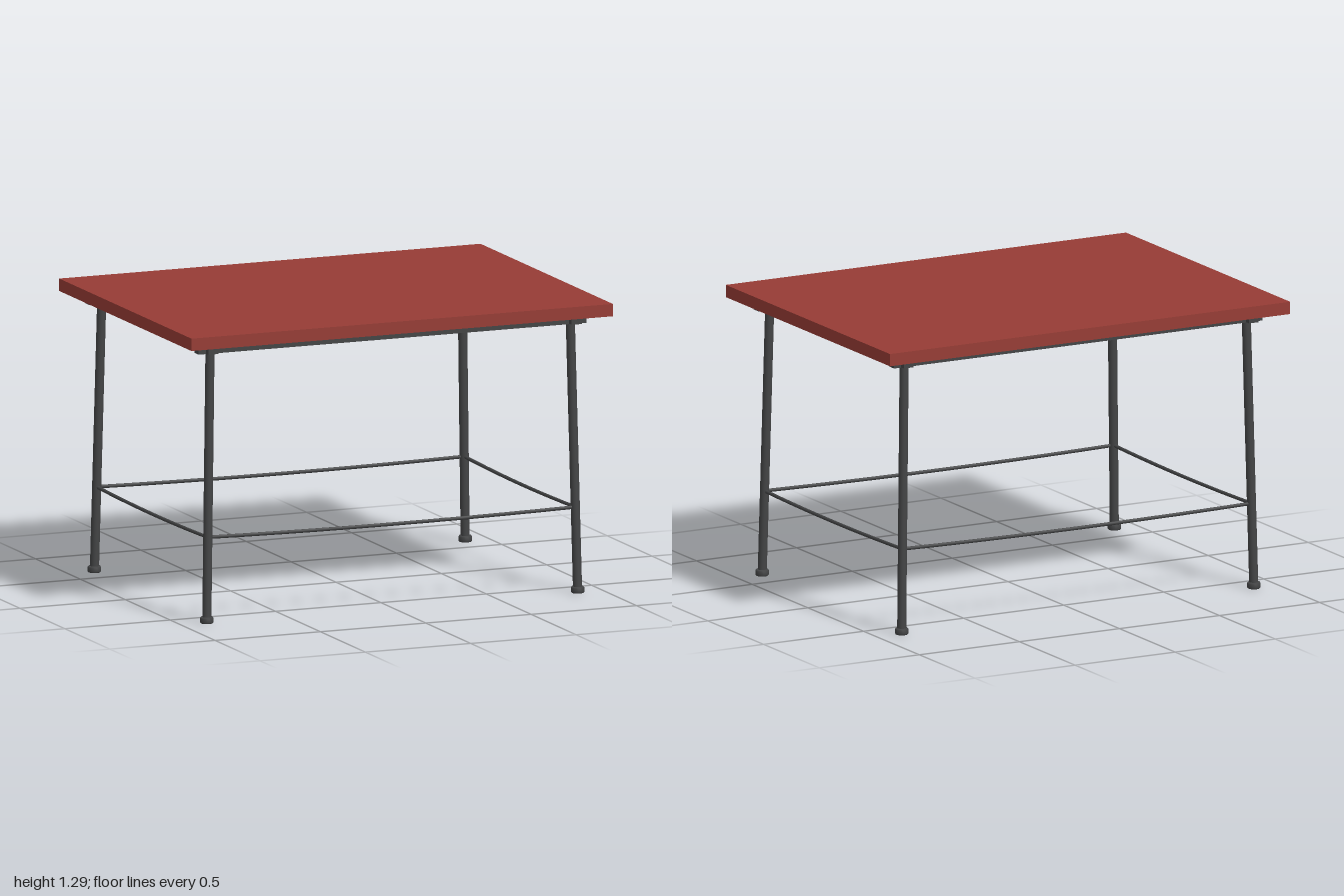
import * as THREE from 'three';

export function createModel() {
  const red = new THREE.MeshStandardMaterial({ color: 0x963c35 });
  red.name = 'red top';
  const metal = new THREE.MeshStandardMaterial({ color: 0x434445 });
  metal.name = 'dark metal';

  const table = new THREE.Group();
  table.name = 'table';
  const add = (name, geometry, material, x = 0, y = 0, z = 0) => {
    const mesh = new THREE.Mesh(geometry, material);
    mesh.name = name;
    mesh.position.set(x, y, z);
    table.add(mesh);
    return mesh;
  };
  const box = (name, w, h, d, material, x, y, z) =>
    add(name, new THREE.BoxGeometry(w, h, d), material, x, y, z);

  // Tray-like top: a thin panel with a lip hanging around its edge
  const topY = 1.295, lipY = 1.24, lip = 0.008, halfZ = 0.737;
  box('tabletop', 2, 0.01, halfZ * 2, red, 0, topY - 0.005, 0);
  const lipH = topY - 0.01 - lipY, lipMid = lipY + lipH / 2;
  for (const s of [-1, 1]) {
    box('longLip', 2, lipH, lip, red, 0, lipMid, s * (halfZ - lip / 2));
    box('shortLip', lip, lipH, (halfZ - lip) * 2, red, s * (1 - lip / 2), lipMid, 0);
  }

  // Frame of crossing bars under the top; ends project past the corners
  const barBottom = 1.198, barTop = topY - 0.01, barX = 0.862, barZ = 0.606;
  const barH = barTop - barBottom, barMid = (barTop + barBottom) / 2;
  for (const s of [-1, 1]) {
    box('longRail', 1.84, barH, 0.048, metal, 0, barMid, s * barZ);
    box('shortRail', 0.048, barH - 0.002, 1.316, metal, s * barX, barMid + 0.001, 0);
  }

  // Splayed round legs with capped feet
  const footProfile = [[0, 0], [0.026, 0], [0.03, 0.005], [0.03, 0.022], [0.026, 0.028], [0, 0.028]]
    .map(([r, y]) => new THREE.Vector2(r, y));
  const legAt = (sx, sz, y) => {
    const t = y / 1.21;
    return new THREE.Vector3(sx * (0.88 - 0.025 * t), y, sz * (0.626 - 0.023 * t));
  };
  for (const sx of [-1, 1]) for (const sz of [-1, 1]) {
    const path = new THREE.LineCurve3(legAt(sx, sz, 0.01), legAt(sx, sz, 1.21));
    add('leg', new THREE.TubeGeometry(path, 1, 0.02, 16), metal);
    const foot = legAt(sx, sz, 0);
    add('foot', new THREE.LatheGeometry(footProfile, 20), metal, foot.x, 0, foot.z);
  }

  // Thin stretchers, sagging slightly between the legs
  const stretcher = (a, b) => {
    const mid = a.clone().add(b).multiplyScalar(0.5);
    mid.y -= 0.018;
    const path = new THREE.QuadraticBezierCurve3(a, mid, b);
    add('stretcher', new THREE.TubeGeometry(path, 10, 0.008, 8), metal);
  };
  const y = 0.38;
  for (const s of [-1, 1]) {
    stretcher(legAt(-1, s, y), legAt(1, s, y));
    stretcher(legAt(s, -1, y), legAt(s, 1, y));
  }
  return table;
}
